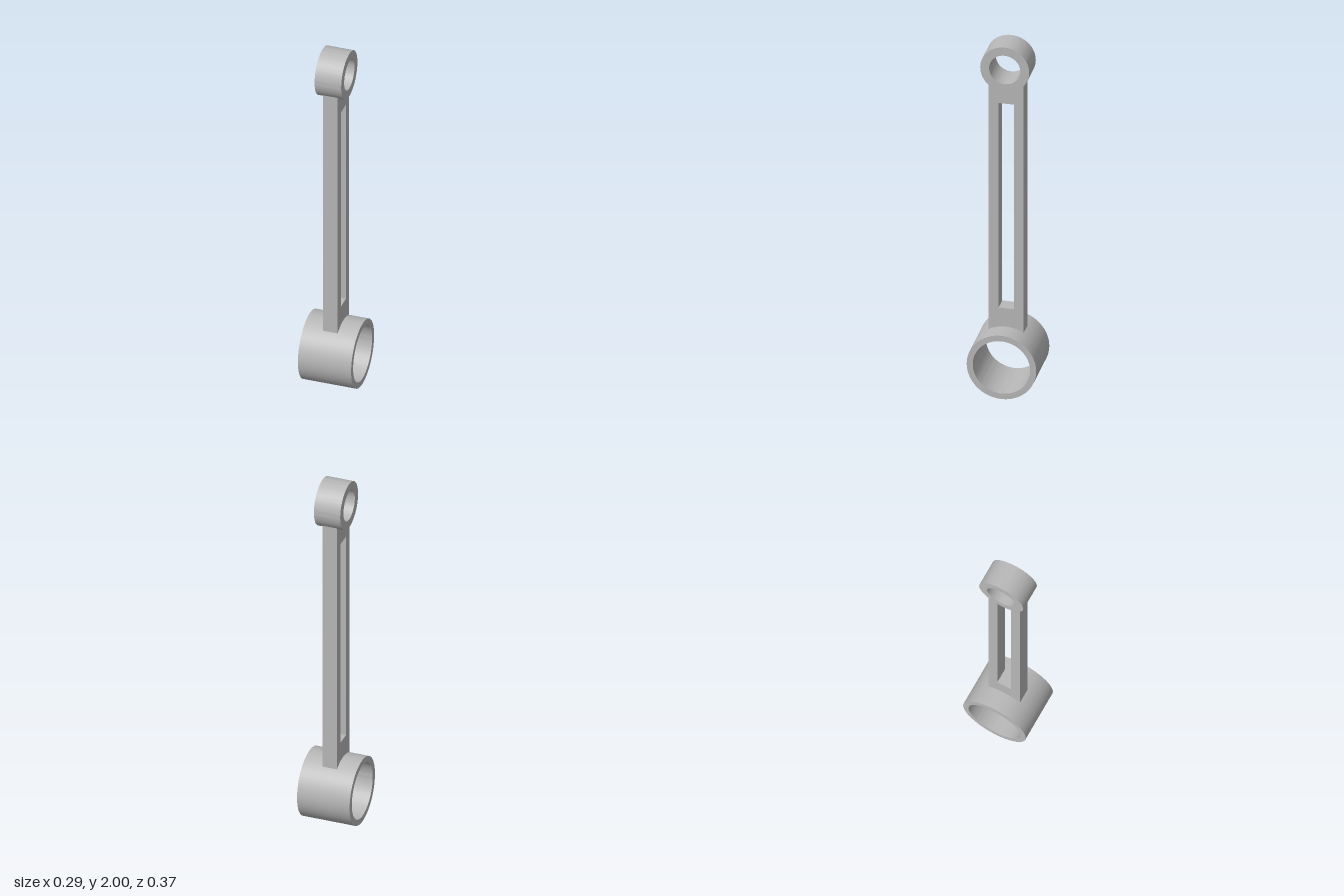
import * as THREE from 'three';
import { toCreasedNormals } from 'three/addons/utils/BufferGeometryUtils.js';

const BIG = { y: 0.183, outer: 0.183, inner: 0.151, width: 0.288 };
const SMALL = { y: 1.871, outer: 0.129, inner: 0.082, width: 0.144 };
const SHANK = { half: 0.092, width: 0.08, slotHalf: 0.04, slotBottom: 0.472, slotTop: 1.658 };

// Extrude a side profile across x, centred, with smooth curves and sharp rims
function extrudeAcross(shape, width) {
  const geometry = new THREE.ExtrudeGeometry(shape, { depth: width, bevelEnabled: false, curveSegments: 48 });
  geometry.translate(0, 0, -width / 2);
  geometry.rotateY(Math.PI / 2);
  return toCreasedNormals(geometry, 0.6);
}

function ringGeometry({ outer, inner, width }) {
  const shape = new THREE.Shape().absarc(0, 0, outer, 0, Math.PI * 2, false);
  shape.holes.push(new THREE.Path().absarc(0, 0, inner, 0, Math.PI * 2, true));
  return extrudeAcross(shape, width);
}

// Slotted bar whose ends follow the outside of both rings
function shankGeometry() {
  const { half, width, slotHalf: s, slotBottom, slotTop } = SHANK;
  const a = Math.acos(half / BIG.outer);
  const b = Math.acos(half / SMALL.outer);
  const shape = new THREE.Shape();
  shape.absarc(0, BIG.y, BIG.outer, Math.PI - a, a, true);
  shape.absarc(0, SMALL.y, SMALL.outer, -b, b - Math.PI, true);
  shape.closePath();
  shape.holes.push(new THREE.Path([
    new THREE.Vector2(-s, slotBottom),
    new THREE.Vector2(-s, slotTop),
    new THREE.Vector2(s, slotTop),
    new THREE.Vector2(s, slotBottom),
  ]));
  return extrudeAcross(shape, width);
}

export function createModel() {
  const model = new THREE.Group();
  model.name = 'connectingRod';

  const steel = new THREE.MeshStandardMaterial({ color: 0xb8b8b8 });
  steel.name = 'steel grey';

  const add = (name, geometry, y = 0) => {
    const mesh = new THREE.Mesh(geometry, steel);
    mesh.name = name;
    mesh.position.y = y;
    model.add(mesh);
  };

  add('bigEndRing', ringGeometry(BIG), BIG.y);
  add('smallEndRing', ringGeometry(SMALL), SMALL.y);
  add('slottedShank', shankGeometry());

  return model;
}
